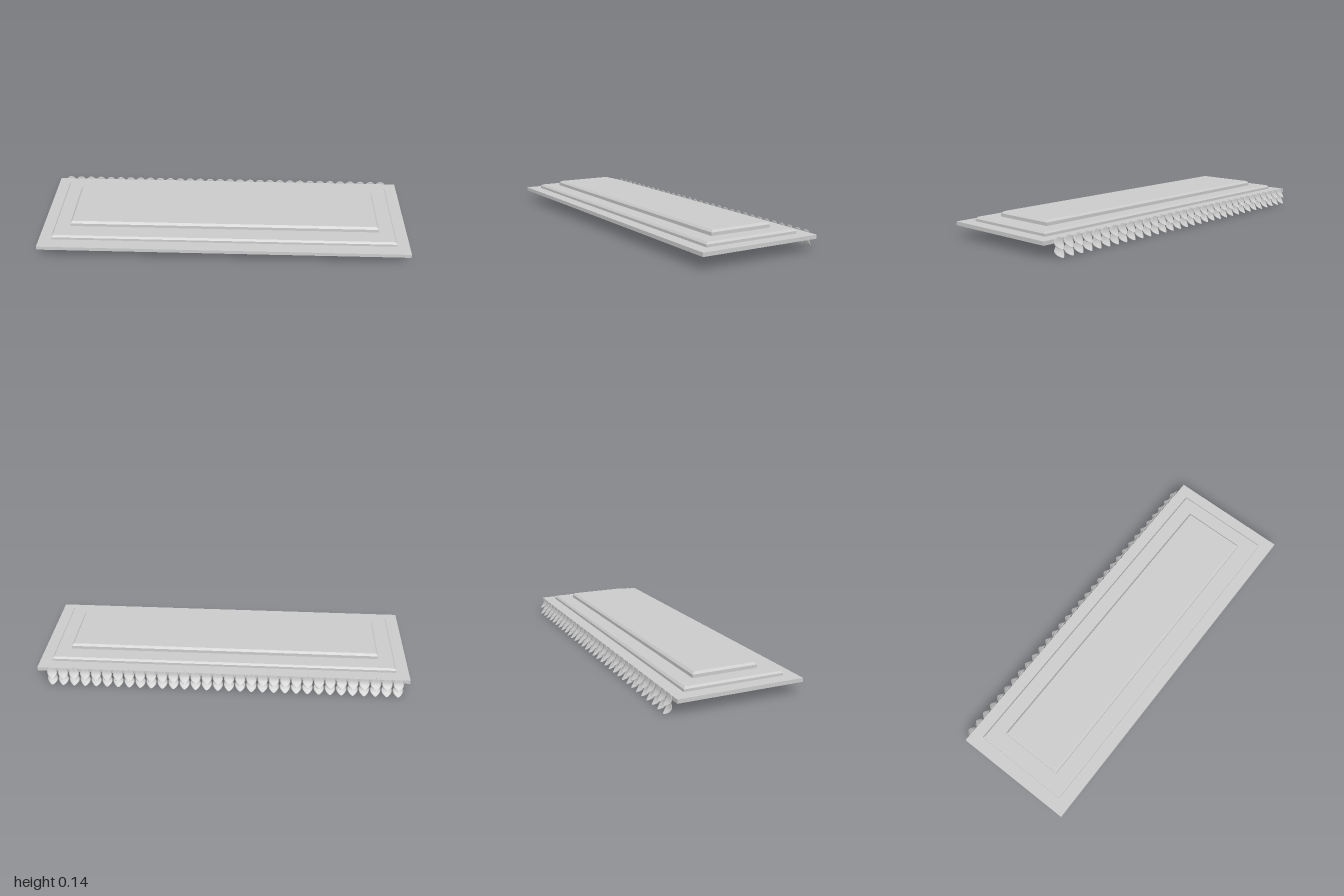
import * as THREE from 'three';

const grey = new THREE.MeshStandardMaterial({ color: 0xcccccc });

// Rectangular slab whose top edge is chamfered by `inset` above height `shoulder`
function slab(name, halfX, z0, z1, y0, shoulder, y1, inset) {
  let geo = new THREE.BoxGeometry(halfX * 2, 2, z1 - z0, 1, 2, 1);
  const p = geo.attributes.position;
  for (let i = 0; i < p.count; i++) {
    const level = Math.round(p.getY(i)) + 1;
    p.setY(i, [y0, shoulder, y1][level]);
    if (level === 2) {
      p.setX(i, p.getX(i) - Math.sign(p.getX(i)) * inset);
      p.setZ(i, p.getZ(i) - Math.sign(p.getZ(i)) * inset);
    }
  }
  geo = geo.toNonIndexed();
  geo.computeVertexNormals();
  const mesh = new THREE.Mesh(geo, grey);
  mesh.name = name;
  mesh.position.z = (z0 + z1) / 2;
  return mesh;
}

// Thin leaf curling outward at its tip, lofted from flat oval rings
function leafGeometry() {
  // height, depth, half width
  const rings = [
    [0.056, -0.320, 0.004], [0.052, -0.320, 0.015], [0.043, -0.3205, 0.024],
    [0.032, -0.322, 0.0285], [0.022, -0.327, 0.0285], [0.013, -0.334, 0.024],
    [0.006, -0.343, 0.015], [0.002, -0.350, 0.007], [0.0005, -0.3525, 0.001],
  ];
  const sides = 10, pos = [], idx = [];
  rings.forEach(([y, z, w], i) => {
    // Thickness runs square to the curl of the leaf
    const a = rings[Math.max(0, i - 1)], b = rings[Math.min(rings.length - 1, i + 1)];
    const dy = b[0] - a[0], dz = b[1] - a[1], len = Math.hypot(dy, dz);
    const thick = 0.0022 * Math.min(1, w / 0.01);
    for (let s = 0; s < sides; s++) {
      const ang = (s / sides) * Math.PI * 2;
      const t = Math.sin(ang) * thick;
      pos.push(Math.cos(ang) * w, y + (t * dz) / len, z - (t * dy) / len);
    }
  });
  for (let r = 0; r < rings.length - 1; r++) {
    for (let s = 0; s < sides; s++) {
      const a = r * sides + s, b = r * sides + (s + 1) % sides;
      idx.push(a, b, a + sides, b, b + sides, a + sides);
    }
  }
  // Close both ends
  const last = (rings.length - 1) * sides;
  for (let s = 1; s < sides - 1; s++) {
    idx.push(0, s + 1, s, last, last + s, last + s + 1);
  }
  const geo = new THREE.BufferGeometry();
  geo.setAttribute('position', new THREE.Float32BufferAttribute(pos, 3));
  geo.setIndex(idx);
  geo.computeVertexNormals();
  return geo;
}

export function createModel() {
  const model = new THREE.Group();
  model.name = 'steppedPlinth';

  // Stepped slabs
  model.add(
    slab('baseSlab', 1, -0.313, 0.353, 0.065, 0.075, 0.085, 0),
    slab('middleStep', 0.932, -0.246, 0.286, 0.085, 0.098, 0.108, 0.009),
    slab('topStep', 0.842, -0.155, 0.194, 0.108, 0.125, 0.136, 0.011),
  );

  // Two rows of curled leaves along the back
  const leaf = leafGeometry();
  const leafMaterial = grey.clone();
  leafMaterial.side = THREE.DoubleSide;
  const count = 32, first = -0.939, step = 0.0599;
  [['lowerLeafRow', 0], ['upperLeafRow', 0.039]].forEach(([name, lift]) => {
    const row = new THREE.Group();
    row.name = name;
    row.position.y = lift;
    for (let i = 0; i < count; i++) {
      const mesh = new THREE.Mesh(leaf, leafMaterial);
      mesh.name = 'leaf';
      mesh.position.x = first + i * step;
      row.add(mesh);
    }
    model.add(row);
  });

  return model;
}
